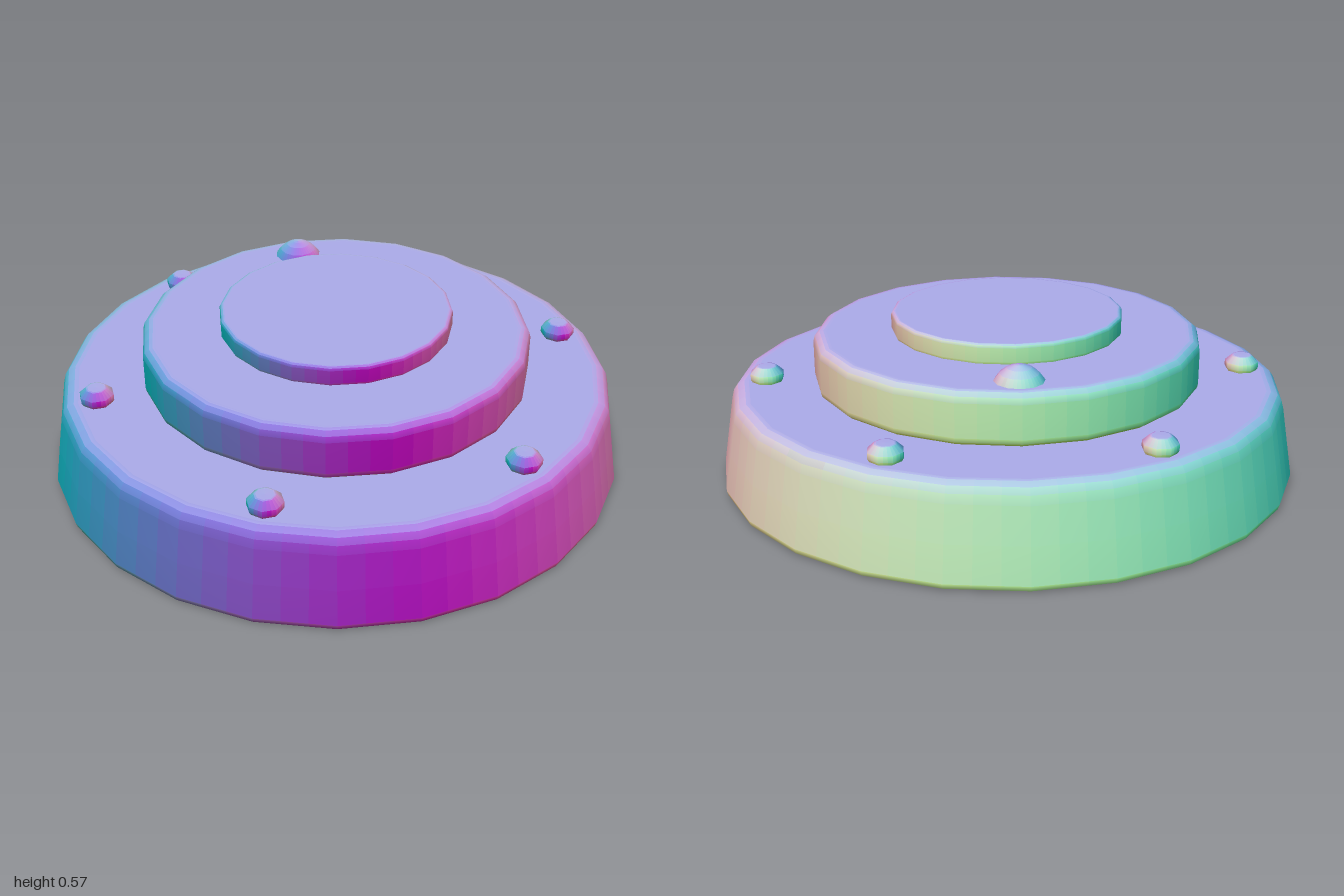
import * as THREE from 'three';

const SPLITS = 3; // colour strips per flat side

// Tint by facing direction: right is red, back is green, up is blue
function tint(n) {
  const channel = (v) => 0.4 + 0.4 * v;
  return new THREE.MeshStandardMaterial({
    color: new THREE.Color().setRGB(channel(n.x), channel(-n.z), channel(n.y)),
  });
}

// Turned part from a [radius, height] profile, bottom to top
function turned(name, profile, sides, phase = 0) {
  const points = profile.map(([r, y]) => new THREE.Vector2(r, y));
  const columns = sides * SPLITS;
  const geometry = new THREE.LatheGeometry(points, columns, phase);
  const { position, normal } = geometry.attributes;

  // Pull the in-between columns onto the straight side of the polygon
  const half = Math.PI / sides;
  for (let c = 0; c <= columns; c++) {
    const offset = ((c % SPLITS) / SPLITS) * 2 * half - half;
    const pull = Math.cos(half) / Math.cos(offset);
    for (let j = 0; j < points.length; j++) {
      const v = c * points.length + j;
      position.setXYZ(v, position.getX(v) * pull, position.getY(v), position.getZ(v) * pull);
    }
  }

  // One plain material per patch, from the mean normal of its corners
  const materials = [];
  const bands = points.length - 1;
  const corner = new THREE.Vector3();
  for (let c = 0; c < columns; c++) {
    for (let j = 0; j < bands; j++) {
      const first = c * points.length + j;
      const mean = new THREE.Vector3();
      for (const v of [first, first + 1, first + points.length, first + points.length + 1]) {
        mean.add(corner.fromBufferAttribute(normal, v));
      }
      geometry.addGroup((c * bands + j) * 6, 6, materials.length);
      materials.push(tint(mean.normalize()));
    }
  }
  const mesh = new THREE.Mesh(geometry, materials);
  mesh.name = name;
  return mesh;
}

export function createModel() {
  const group = new THREE.Group();
  group.name = 'steppedRoundBase';

  // Wide tapered base with a rounded upper rim
  group.add(turned('base', [
    [0, 0], [0.96, 0], [0.975, 0], [0.995, 0.008], [1, 0.025],
    [0.98, 0.145], [0.96, 0.265], [0.952, 0.295], [0.938, 0.315], [0.915, 0.325], [0.9, 0.325], [0, 0.325],
  ], 24));

  // Middle tier
  group.add(turned('middleTier', [
    [0.64, 0.322], [0.655, 0.325], [0.667, 0.335], [0.67, 0.35],
    [0.67, 0.465], [0.664, 0.485], [0.648, 0.498], [0.635, 0.5], [0.625, 0.5], [0, 0.5],
  ], 20));

  // Top disc
  group.add(turned('topDisc', [
    [0.395, 0.498], [0.4, 0.508],
    [0.4, 0.555], [0.397, 0.563], [0.39, 0.567], [0.385, 0.567], [0, 0.567],
  ], 20));

  // Ring of six chamfered bolts
  for (let i = 0; i < 6; i++) {
    const angle = (i * Math.PI) / 3;
    const bolt = turned('bolt', [
      [0.052, 0], [0.059, 0.012], [0.059, 0.032], [0.036, 0.054], [0.03, 0.055], [0, 0.055],
    ], 8, Math.PI / 8);
    bolt.position.set(0.835 * Math.cos(angle), 0.323, 0.835 * Math.sin(angle));
    // Keep every bolt square to the axes so its tints face the right way
    group.add(bolt);
  }

  // Small dome near the back of the middle tier
  const dome = turned('indicatorDome', [
    [0.086, -0.02], [0.082, 0.002], [0.064, 0.026], [0.04, 0.044], [0.015, 0.053], [0, 0.054],
  ], 12);
  dome.position.set(0, 0.498, -0.54);
  group.add(dome);

  return group;
}
